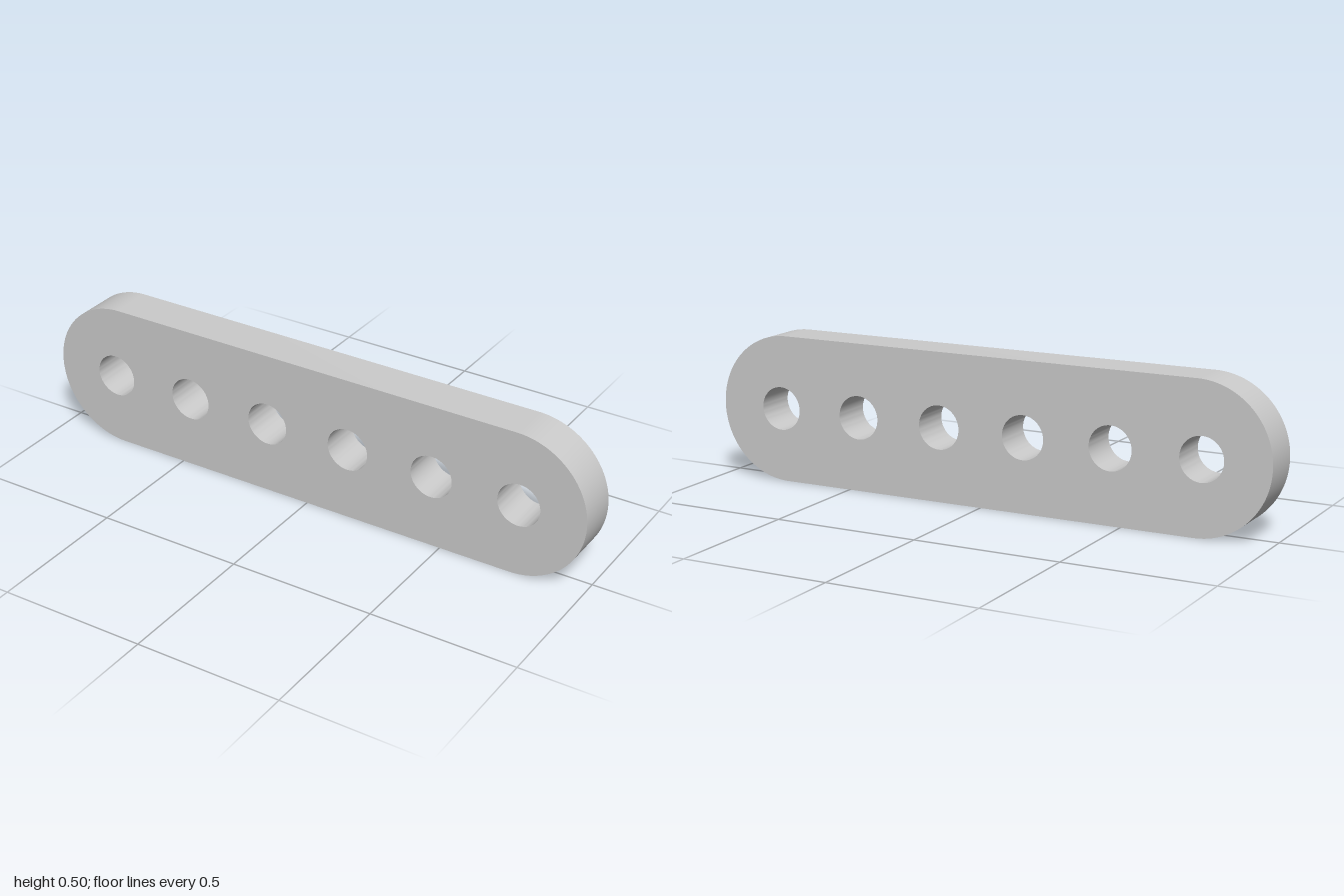
import * as THREE from 'three';
import { toCreasedNormals } from 'three/addons/utils/BufferGeometryUtils.js';

export function createModel() {
  const group = new THREE.Group();
  group.name = 'perforatedBar';

  const radius = 0.2515, endX = 1 - radius, depth = 0.148;
  const holeCount = 6, pitch = 2 / 6.5, holeRadius = 0.074;

  // Rounded-end outline
  const outline = new THREE.Shape();
  outline.absarc(endX, radius, radius, -Math.PI / 2, Math.PI / 2, false);
  outline.absarc(-endX, radius, radius, Math.PI / 2, Math.PI * 1.5, false);
  outline.closePath();

  // Evenly spaced row of through holes
  for (let i = 0; i < holeCount; i++) {
    const hole = new THREE.Path();
    hole.absarc((i - (holeCount - 1) / 2) * pitch, radius, holeRadius, 0, Math.PI * 2, true);
    outline.holes.push(hole);
  }

  const extruded = new THREE.ExtrudeGeometry(outline, { depth, bevelEnabled: false, curveSegments: 32 });
  extruded.translate(0, 0, -depth / 2);

  // Smooth curved walls, sharp rims
  const bar = new THREE.Mesh(
    toCreasedNormals(extruded, Math.PI / 6),
    new THREE.MeshStandardMaterial({ color: 0xcccccc })
  );
  bar.name = 'bar';
  group.add(bar);
  return group;
}
